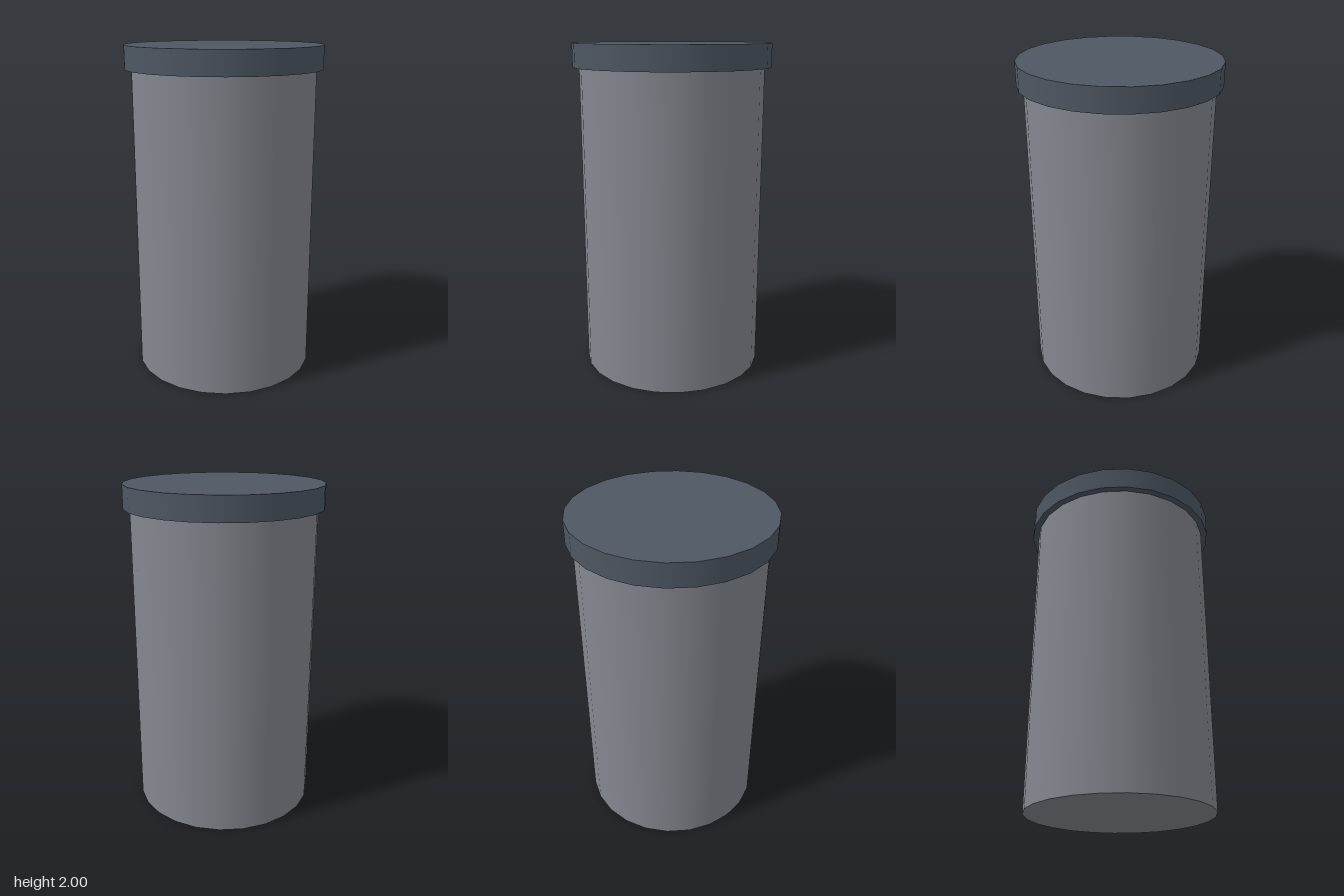
import * as THREE from 'three';

const SIDES = 24;

// Upright capped cylinder standing between two heights
function drum(name, radius, bottom, top, color) {
  const geometry = new THREE.CylinderGeometry(radius, radius, top - bottom, SIDES);
  const mesh = new THREE.Mesh(geometry, new THREE.MeshStandardMaterial({ color }));
  mesh.name = name;
  mesh.position.y = (bottom + top) / 2;
  return mesh;
}

export function createModel() {
  const group = new THREE.Group();
  group.name = 'canister';
  // Tall body with a wider, darker lid on top
  group.add(drum('body', 0.553, 0, 1.86, 0x84878f));
  group.add(drum('lid', 0.592, 1.86, 2, 0x4e5763));
  return group;
}
